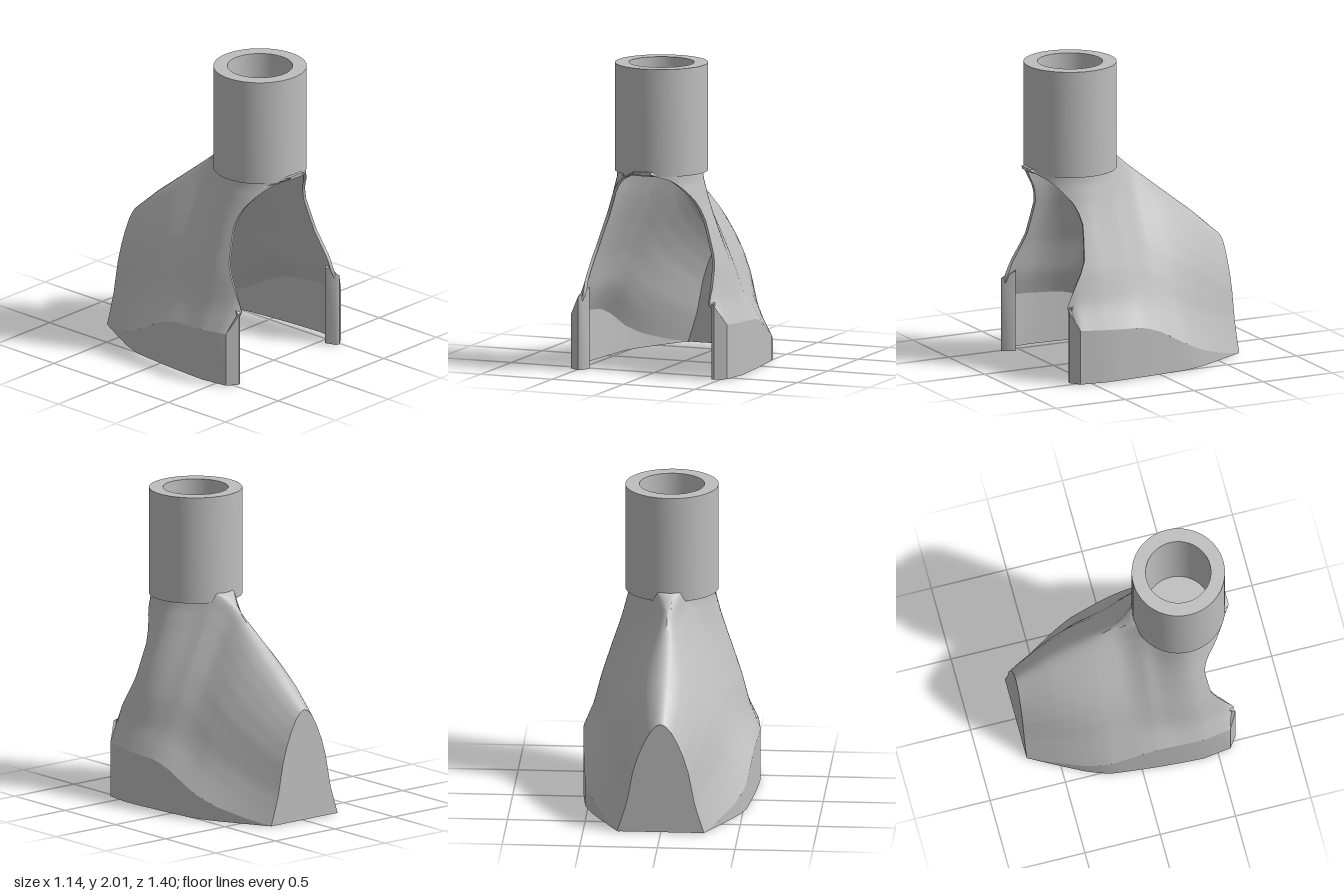
import * as THREE from 'three';
import { toCreasedNormals } from 'three/addons/utils/BufferGeometryUtils.js';

const WALL = 0.02;
const TUBE_Z = 0.38;
const TUBE_R = 0.3;
const { lerp, smoothstep } = THREE.MathUtils;

// Piecewise linear lookup through [input, output] pairs
function lookup(table, t) {
  if (t <= table[0][0]) return table[0][1];
  for (let i = 1; i < table.length; i++) {
    const [a, fa] = table[i - 1], [b, fb] = table[i];
    if (t <= b) return fa + (fb - fa) * (t - a) / (b - a);
  }
  return table[table.length - 1][1];
}

// Footprint half width, skirt height and ridge height along z
const halfWidth = [[-0.7, 0.28], [-0.6, 0.335], [-0.47, 0.405], [-0.36, 0.462], [-0.28, 0.495], [-0.2, 0.52], [-0.05, 0.538], [0.1, 0.552], [0.25, 0.563], [0.4, 0.57], [0.585, 0.545], [0.65, 0.5]];
const skirtTop = [[-0.7, 0], [-0.55, 0.035], [-0.35, 0.1], [-0.2, 0.17], [0, 0.28], [0.08, 0.31], [0.15, 0.328], [0.4, 0.345], [0.585, 0.355]];
const ridgeTop = [[-0.7, 0.73], [-0.5, 0.905], [-0.3, 1.06], [0, 1.295], [0.04, 1.33], [0.1, 1.37], [0.18, 1.33]];
// Front opening edge: z along height
const frontEdge = [[0.355, 0.585], [0.48, 0.635], [0.55, 0.605], [0.62, 0.57], [0.7, 0.525], [0.78, 0.49], [0.88, 0.477], [1.0, 0.465], [1.07, 0.48], [1.13, 0.505], [1.22, 0.575], [1.27, 0.62], [1.32, 0.7]];
// Side curvature from skirt (0) to top (1): arched at the back, hollow at the neck
const archCurve = [[0, 1], [0.14, 0.88], [0.27, 0.78], [0.55, 0.64], [0.7, 0.52], [0.82, 0.39], [0.92, 0.25], [0.97, 0.14], [0.99, 0.07], [1, 0]];
const neckCurve = [[0, 1], [0.16, 0.78], [0.37, 0.6], [0.58, 0.37], [0.69, 0.245], [0.79, 0.14], [0.92, 0.03], [1, 0]];

// Half width of the hood's top where it meets the tube
function neckWidth(z) {
  const full = 0.92 * TUBE_R;
  if (z < TUBE_Z) return full * smoothstep(z, -0.05, TUBE_Z);
  return Math.max(0.06, 0.92 * Math.sqrt(Math.max(0, TUBE_R ** 2 - (z - TUBE_Z) ** 2)));
}

// Point on the +x half of the hood; u runs back to front, v from skirt to top
function hoodPoint(u, v) {
  let z = -0.7 + u * 1.3, y = 0;
  for (let k = 0; k < 20; k++) {
    y = lerp(lookup(skirtTop, z), lookup(ridgeTop, z), v);
    z = -0.7 + u * (lookup(frontEdge, y) + 0.7);
  }
  const neck = neckWidth(z);
  const p = lerp(lookup(archCurve, v), lookup(neckCurve, v), smoothstep(z, -0.6, 0.36));
  return new THREE.Vector3(neck + (lookup(halfWidth, z) - neck) * p, y, z);
}

// Sheet with wall thickness, from rows of points
function thickSheet(rows) {
  const n = rows.length, m = rows[0].length, total = n * m;
  const points = rows.flat();
  const id = (i, j) => i * m + j;
  const faces = [];
  for (let i = 0; i < n - 1; i++) {
    for (let j = 0; j < m - 1; j++) {
      const a = id(i, j), b = id(i + 1, j), c = id(i + 1, j + 1), d = id(i, j + 1);
      faces.push(a, b, c, a, c, d);
    }
  }
  const outer = new THREE.BufferGeometry().setFromPoints(points);
  outer.setIndex(faces);
  outer.computeVertexNormals();
  const normals = outer.getAttribute('normal');
  const inner = points.map((p, i) =>
    p.clone().addScaledVector(new THREE.Vector3().fromBufferAttribute(normals, i), -WALL));

  const index = [...faces];
  for (let k = 0; k < faces.length; k += 3) {
    index.push(faces[k] + total, faces[k + 2] + total, faces[k + 1] + total);
  }
  const rim = (a, b) => index.push(b, a, a + total, b, a + total, b + total);
  for (let i = 0; i < n - 1; i++) {
    rim(id(i, 0), id(i + 1, 0));
    rim(id(i + 1, m - 1), id(i, m - 1));
  }
  for (let j = 0; j < m - 1; j++) {
    rim(id(n - 1, j), id(n - 1, j + 1));
    rim(id(0, j + 1), id(0, j));
  }
  const geometry = new THREE.BufferGeometry().setFromPoints([...points, ...inner]);
  geometry.setIndex(index);
  return toCreasedNormals(geometry, 0.8);
}

const mirrored = (p) => new THREE.Vector3(-p.x, p.y, p.z);

export function createModel() {
  const group = new THREE.Group();
  const grey = new THREE.MeshStandardMaterial({ color: 0xbebebe, side: THREE.DoubleSide });
  grey.name = 'plain grey';
  const add = (name, geometry) => {
    const mesh = new THREE.Mesh(geometry, grey);
    mesh.name = name;
    group.add(mesh);
    return mesh;
  };

  // Hood: both flanks joined over the ridge
  const rows = [];
  for (let i = 0; i <= 50; i++) {
    const half = [];
    for (let j = 0; j <= 28; j++) half.push(hoodPoint(i / 50, 1 - (1 - j / 28) ** 1.3));
    rows.push([...half.map(mirrored), ...half.reverse()]);
  }
  add('hood', thickSheet(rows));

  // Upright skirts, each with a return folded back inside at the front
  const foot = [];
  for (const z of [-0.7, -0.6, -0.55, -0.45, -0.36, -0.28, -0.2, -0.1, 0, 0.08, 0.15, 0.28, 0.4, 0.5, 0.585]) {
    foot.push(new THREE.Vector3(lookup(halfWidth, z), lookup(skirtTop, z), z));
  }
  foot.push(
    new THREE.Vector3(0.475, 0.48, 0.635),
    new THREE.Vector3(0.455, 0.49, 0.625),
    new THREE.Vector3(0.43, 0.53, 0.55),
  );
  const ground = foot.map((p) => new THREE.Vector3(p.x, 0, p.z));
  add('leftSkirt', thickSheet([ground, foot]));
  add('rightSkirt', thickSheet([ground, foot].map((row) => row.map(mirrored).reverse())));

  // Arched back wall
  const arch = [];
  for (let j = 0; j <= 40; j++) {
    const p = hoodPoint(0, j / 40);
    arch.push(new THREE.Vector2(p.x, p.y));
  }
  const outline = [...arch, ...arch.slice(0, -1).reverse().map((p) => new THREE.Vector2(-p.x, p.y))];
  const backWall = add('backWall', new THREE.ExtrudeGeometry(new THREE.Shape(outline), { depth: WALL, bevelEnabled: false }));
  backWall.position.z = -0.7;

  // Tube socket: lower ledge, outside, rim, bore and bore floor
  const profile = [[0.2, 1.3], [TUBE_R, 1.3], [TUBE_R, 2], [0.21, 2], [0.21, 1.345], [0, 1.345]]
    .map(([x, y]) => new THREE.Vector2(x, y));
  const tube = add('tubeSocket', toCreasedNormals(new THREE.LatheGeometry(profile, 64), 0.6));
  tube.position.z = TUBE_Z;

  return group;
}
